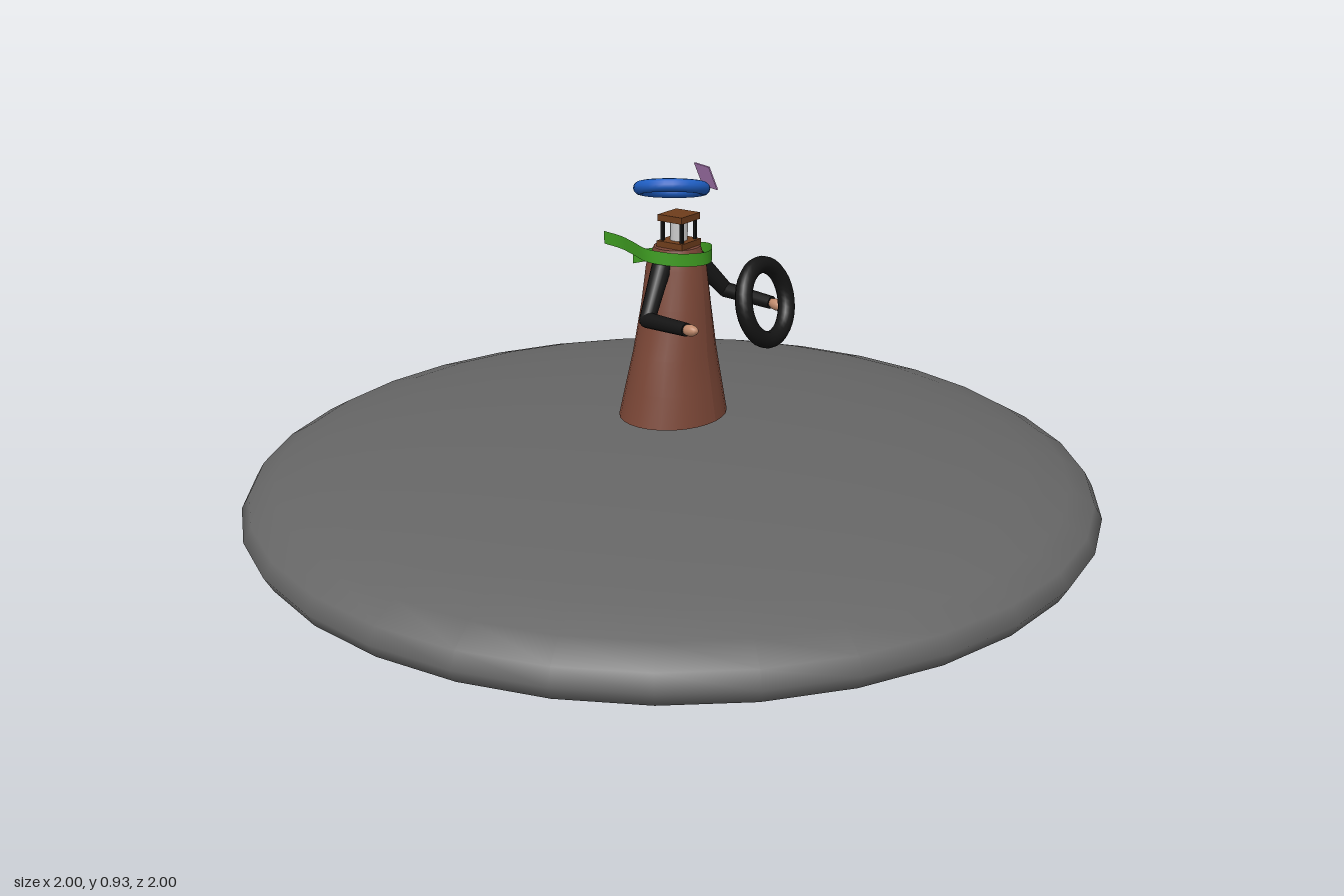
import * as THREE from 'three';

const V = (x, y, z) => new THREE.Vector3(x, y, z);

export function createModel() {
  const model = new THREE.Group();
  const mat = (color, extra = {}) => new THREE.MeshStandardMaterial({ color, ...extra });
  const black = mat(0x141414);
  const brown = mat(0x7a4636, { side: THREE.DoubleSide });
  const wood = mat(0x6e3d1c);
  const skin = mat(0xc08a6c);
  const blue = mat(0x1f5fc4);
  const green = mat(0x3f9e22, { side: THREE.DoubleSide });

  const add = (name, geo, material, pos = [0, 0, 0], parent = model) => {
    const mesh = new THREE.Mesh(geo, material);
    mesh.name = name;
    mesh.position.set(...pos);
    parent.add(mesh);
    return mesh;
  };

  // Flattened stone base
  add('base', new THREE.SphereGeometry(1, 32, 16), mat(0x666666), [0, 0.18, 0]).scale.y = 0.172;

  // Robe: loft of ellipses [y, centre x, centre z, radius x, radius z]
  const rings = [
    [0.365, -0.013, 0.015, 0.137, 0.12], [0.44, -0.013, 0.017, 0.122, 0.106],
    [0.52, -0.012, 0.019, 0.106, 0.091], [0.63, -0.009, 0.02, 0.08, 0.08],
    [0.72, -0.008, 0.02, 0.068, 0.07], [0.765, -0.008, 0.022, 0.055, 0.052],
  ];
  const robe = new THREE.CylinderGeometry(1, 1, 1, 28, rings.length - 1);
  const p = robe.attributes.position;
  for (let i = 0; i < p.count; i++) {
    const k = Math.round((p.getY(i) + 0.5) * (rings.length - 1));
    const [y, cx, cz, rx, rz] = rings[k];
    p.setXYZ(i, cx + p.getX(i) * rx, y, cz + p.getZ(i) * rz);
  }
  robe.computeVertexNormals();
  add('robe', robe, brown);

  // Lantern head: plates, corner posts and pale glass
  const lantern = new THREE.Group();
  lantern.name = 'lanternHead';
  lantern.position.set(-0.008, 0, 0.027);
  model.add(lantern);
  add('lanternFoot', new THREE.BoxGeometry(0.075, 0.014, 0.07), wood, [0, 0.772, 0], lantern);
  add('lanternGlass', new THREE.CylinderGeometry(0.02, 0.02, 0.05, 12), mat(0xcccccc), [0, 0.802, 0], lantern);
  for (const sx of [-1, 1]) for (const sz of [-1, 1]) {
    add('lanternPost', new THREE.BoxGeometry(0.007, 0.05, 0.007), black, [sx * 0.026, 0.802, sz * 0.026], lantern);
  }
  add('lanternRoof', new THREE.BoxGeometry(0.072, 0.015, 0.066), wood, [0, 0.832, 0], lantern);

  // Tilted ring hat with a square tag
  const hat = add('ringHat', new THREE.TorusGeometry(0.072, 0.015, 12, 28), blue, [-0.004, 0.893, 0.004]);
  hat.rotation.set(Math.PI / 2 - 0.18, -0.26, 0);
  const tag = add('hatTag', new THREE.BoxGeometry(0.06, 0.06, 0.003), mat(0xc08acb), [0.083, 0.91, 0.038]);
  tag.lookAt(V(0.083 + 0.86, 0.91 + 0.4, 0.038 + 0.35));

  // Hoop held in front
  const hoop = add('hoop', new THREE.TorusGeometry(0.083, 0.019, 12, 32), black, [-0.02, 0.675, 0.268]);
  hoop.rotation.x = -0.24;

  // Scarf: one rising turn of thin ribbon whose ends trail behind
  const path = new THREE.CatmullRomCurve3([
    V(0, 0.715, -0.11), V(0.05, 0.722, -0.065), V(0.085, 0.735, 0), V(0.065, 0.745, 0.065),
    V(0, 0.745, 0.1), V(-0.07, 0.75, 0.07), V(-0.1, 0.757, 0.01),
    V(-0.07, 0.76, -0.06), V(-0.045, 0.76, -0.11), V(-0.03, 0.76, -0.17),
  ]);
  const scarf = new THREE.PlaneGeometry(1, 1, 36, 1);
  const sp = scarf.attributes.position;
  for (let i = 0; i < sp.count; i++) {
    const c = path.getPoint(sp.getX(i) + 0.5);
    sp.setXYZ(i, c.x, c.y + sp.getY(i) * 0.03, c.z);
  }
  scarf.computeVertexNormals();
  add('scarf', scarf, green);

  // Tapered limb between two points
  const limb = (name, a, b, ra, rb, material, parent) => {
    const d = b.clone().sub(a);
    const mid = a.clone().add(b).multiplyScalar(0.5);
    const m = add(name, new THREE.CylinderGeometry(rb, ra, d.length(), 12), material, mid.toArray(), parent);
    m.quaternion.setFromUnitVectors(V(0, 1, 0), d.normalize());
    return m;
  };

  // Arms: shoulder, elbow, wrist, fingertip
  const arms = {
    leftArm: [V(0.05, 0.735, 0.02), V(0.117, 0.64, 0.072), V(0.107, 0.633, 0.205), V(0.096, 0.63, 0.243)],
    rightArm: [V(-0.065, 0.735, 0.022), V(-0.155, 0.628, 0.045), V(-0.188, 0.637, 0.175), V(-0.198, 0.642, 0.205)],
  };
  for (const [name, [shoulder, elbow, wrist, tip]] of Object.entries(arms)) {
    const arm = new THREE.Group();
    arm.name = name;
    model.add(arm);
    add('shoulder', new THREE.SphereGeometry(0.023, 12, 8), black, shoulder.toArray(), arm);
    limb('upperSleeve', shoulder, elbow, 0.023, 0.018, black, arm);
    add('elbow', new THREE.SphereGeometry(0.018, 12, 8), black, elbow.toArray(), arm);
    limb('lowerSleeve', elbow, wrist, 0.018, 0.015, black, arm);
    const hand = add('hand', new THREE.SphereGeometry(1, 12, 8), skin,
      wrist.clone().lerp(tip, 0.4).toArray(), arm);
    hand.scale.set(0.013, 0.013, 0.025);
    hand.lookAt(tip);
  }
  return model;
}
